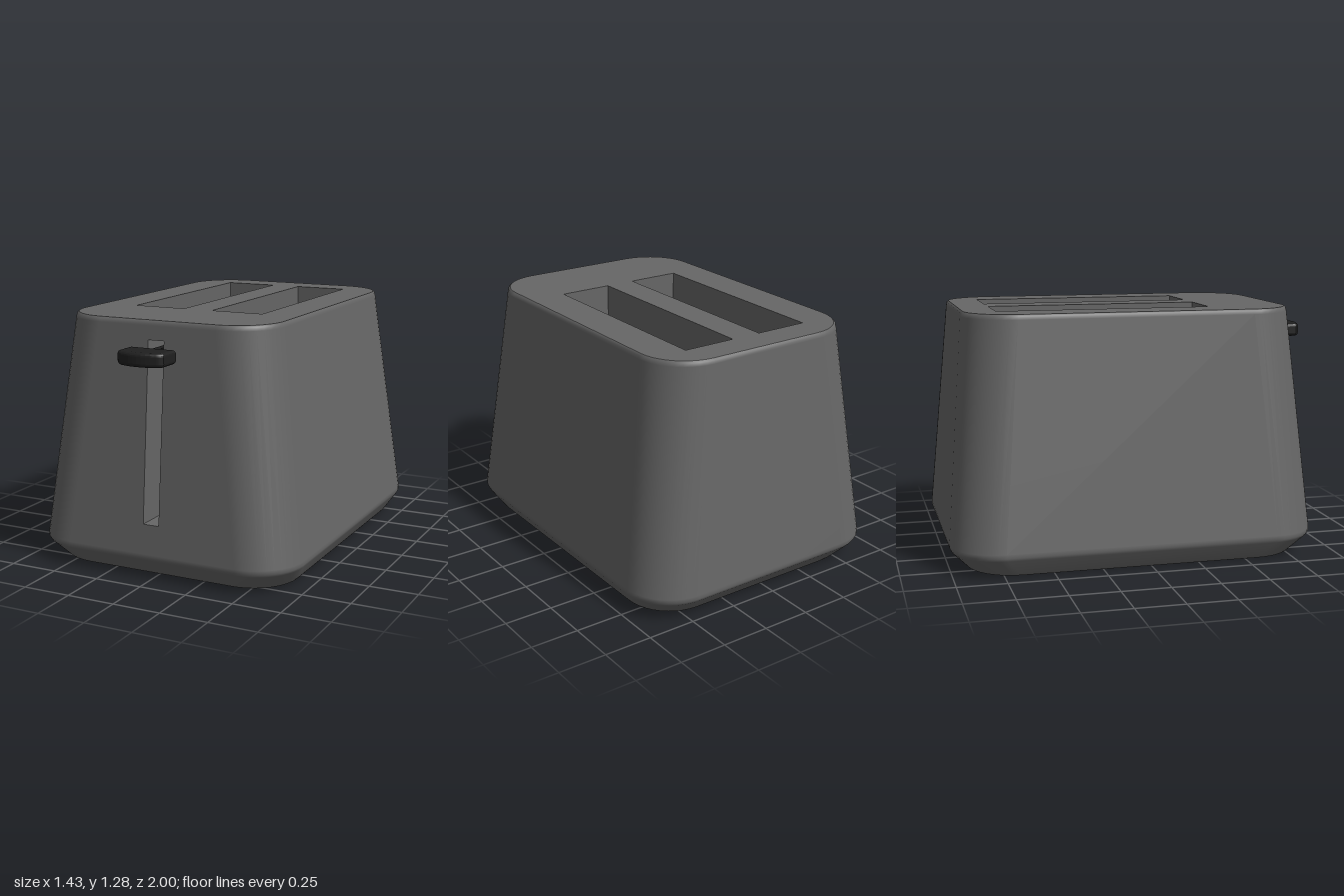
import * as THREE from 'three';

const bodyMaterial = new THREE.MeshStandardMaterial({ color: 0x666666 });
bodyMaterial.name = 'grey shell';
const leverMaterial = new THREE.MeshStandardMaterial({ color: 0x1f1f1f });
leverMaterial.name = 'black lever';

const CZ = -0.05; // centre of the shell along z
const STEPS = 10; // segments per rounded corner
const PER_RING = 4 * (STEPS + 1);

// Shell cross-sections: height, half width, half depth, corner radius
const sections = [
  [0, 0.635, 0.845, 0.235],
  [0.004, 0.647, 0.857, 0.24],
  [0.015, 0.657, 0.868, 0.245],
  [0.095, 0.707, 0.94, 0.25],
  [0.11, 0.713, 0.947, 0.25],
  [0.13, 0.713, 0.948, 0.25],
  [1.255, 0.569, 0.853, 0.25],
  [1.272, 0.565, 0.849, 0.247],
  [1.28, 0.556, 0.84, 0.24],
];
const WALL = 5; // section where the tall wall starts
const frontZ = (y) => {
  const [a, b] = [sections[WALL], sections[WALL + 1]];
  return CZ + a[2] + ((y - a[0]) / (b[0] - a[0])) * (b[2] - a[2]);
};

// Rounded rectangle as [x, z] points
function ring([, hx, hz, r]) {
  const points = [];
  [[1, 1], [-1, 1], [-1, -1], [1, -1]].forEach(([sx, sz], corner) => {
    for (let i = 0; i <= STEPS; i++) {
      const a = (corner + i / STEPS) * Math.PI / 2;
      points.push([sx * (hx - r) + r * Math.cos(a), CZ + sz * (hz - r) + r * Math.sin(a)]);
    }
  });
  return points;
}

// Side wall; the flat front strip is left out for the grooved panel
function shellGeometry() {
  const positions = [], all = [], kept = [];
  sections.forEach((s) => ring(s).forEach(([x, z]) => positions.push(x, s[0], z)));
  for (let i = 0; i < sections.length - 1; i++) {
    for (let j = 0; j < PER_RING; j++) {
      const k = (j + 1) % PER_RING;
      const a = i * PER_RING + j, b = i * PER_RING + k;
      const c = b + PER_RING, d = a + PER_RING;
      const quad = [a, d, b, b, d, c];
      all.push(...quad);
      if (i !== WALL || j !== STEPS) kept.push(...quad);
    }
  }
  const g = new THREE.BufferGeometry();
  g.setAttribute('position', new THREE.Float32BufferAttribute(positions, 3));
  g.setIndex(all);
  g.computeVertexNormals();
  g.setIndex(kept);
  return g;
}

const polygon = (points) => new THREE.Shape(points.map(([x, y]) => new THREE.Vector2(x, y)));
const rectangle = (x0, x1, y0, y1) => polygon([[x0, y0], [x0, y1], [x1, y1], [x1, y0]]);

// Inward-facing box with one side open (2 = top, 4 = front)
function recessGeometry(x0, x1, y0, y1, z0, z1, openSide) {
  const g = new THREE.BoxGeometry(x1 - x0, y1 - y0, z1 - z0);
  g.translate((x0 + x1) / 2, (y0 + y1) / 2, (z0 + z1) / 2);
  const index = Array.from(g.index.array);
  index.splice(openSide * 6, 6);
  g.setIndex(index.reverse());
  g.clearGroups();
  g.computeVertexNormals();
  return g;
}

export function createModel() {
  const model = new THREE.Group();
  model.name = 'toaster';
  const add = (name, geometry, material) => {
    const mesh = new THREE.Mesh(geometry, material);
    mesh.name = name;
    model.add(mesh);
    return mesh;
  };

  add('shell', shellGeometry(), bodyMaterial);

  // Base
  const base = new THREE.ShapeGeometry(polygon(ring(sections[0])));
  add('base', base.rotateX(Math.PI / 2), bodyMaterial);

  // Top with two bread slots
  const topSection = sections[sections.length - 1];
  const topY = topSection[0];
  const topShape = polygon(ring(topSection).map(([x, z]) => [x, -z]));
  const [slotBack, slotFront] = [-0.73, 0.375];
  for (const [x0, x1, name] of [[-0.36, -0.08, 'rightSlot'], [0.08, 0.36, 'leftSlot']]) {
    topShape.holes.push(rectangle(x0, x1, -slotFront, -slotBack));
    add(name, recessGeometry(x0, x1, 0.35, topY, slotBack, slotFront, 2), bodyMaterial);
  }
  const top = new THREE.ShapeGeometry(topShape).rotateX(-Math.PI / 2).translate(0, topY, 0);
  add('top', top, bodyMaterial);

  // Sloping front panel with the lever groove
  const [low, high] = [sections[WALL], sections[WALL + 1]];
  const [lx, hx] = [low[1] - low[3], high[1] - high[3]];
  const panelShape = polygon([[-lx, low[0]], [lx, low[0]], [hx, high[0]], [-hx, high[0]]]);
  const [g0, g1, gw] = [0.28, 1.185, 0.043];
  panelShape.holes.push(rectangle(-gw, gw, g0, g1));
  const panel = new THREE.ShapeGeometry(panelShape);
  const groove = recessGeometry(-gw, gw, g0, g1, 0.62, 0.9, 4);
  for (const g of [panel, groove]) {
    const p = g.attributes.position;
    for (let i = 0; i < p.count; i++) {
      if (g === panel || p.getZ(i) > 0.8) p.setZ(i, frontZ(p.getY(i)));
    }
    g.computeVertexNormals();
  }
  add('frontPanel', panel, bodyMaterial);
  add('leverGroove', groove, bodyMaterial);

  // Lever knob with a bowed front, and its stem
  const b = 0.018;
  const knobShape = new THREE.Shape();
  knobShape.moveTo(-0.107, -0.858);
  knobShape.lineTo(-0.107, -0.952);
  knobShape.quadraticCurveTo(-0.1, -0.962, -0.085, -0.966);
  knobShape.quadraticCurveTo(0, -0.998, 0.085, -0.966);
  knobShape.quadraticCurveTo(0.1, -0.962, 0.107, -0.952);
  knobShape.lineTo(0.107, -0.858);
  knobShape.closePath();
  const knob = new THREE.ExtrudeGeometry(knobShape, {
    depth: 0.07 - 2 * b, bevelThickness: b, bevelSize: b, bevelSegments: 4, curveSegments: 8,
  });
  knob.rotateX(-Math.PI / 2).translate(0, 1.085 + b, 0);
  add('leverKnob', knob, leverMaterial);

  const stem = new THREE.BoxGeometry(0.04, 0.05, 0.24);
  add('leverStem', stem, leverMaterial).position.set(0, 1.12, 0.74);

  return model;
}
